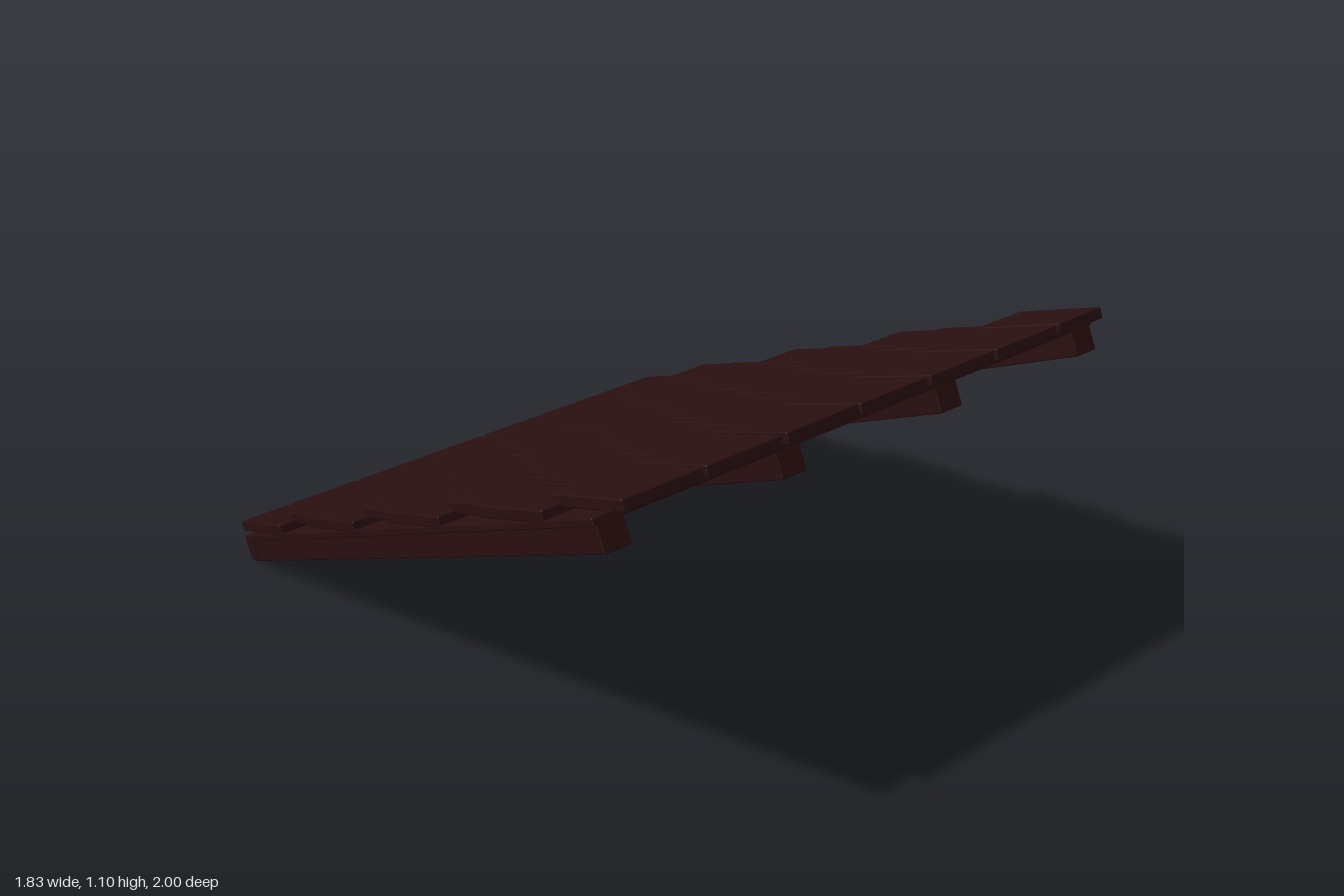
import * as THREE from 'three';
import { RoundedBoxGeometry } from 'three/addons/geometries/RoundedBoxGeometry.js';

const wood = new THREE.MeshStandardMaterial({ color: 0x2a0f10 });
wood.name = 'darkWood';

// Box given by its extents on each axis, with slightly softened edges
function block(name, [x0, x1], [y0, y1], [z0, z1], radius = 0.004) {
  const geometry = new RoundedBoxGeometry(x1 - x0, y1 - y0, z1 - z0, 1, radius);
  const mesh = new THREE.Mesh(geometry, wood);
  mesh.name = name;
  mesh.position.set((x0 + x1) / 2, (y0 + y1) / 2, (z0 + z1) / 2);
  return mesh;
}

function seeded(seed) {
  return () => (seed = (seed * 16807) % 2147483647) / 2147483647;
}

export function createModel() {
  const model = new THREE.Group();
  model.name = 'roofPanel';

  // Everything is laid out flat, with the deck top at y = 0, then pitched
  const slope = new THREE.Group();
  slope.name = 'slope';
  slope.position.y = 0.575;
  slope.rotation.x = -Math.atan(0.5);
  model.add(slope);

  const half = 0.915;
  slope.add(block('deck', [-half, half], [-0.022, 0], [-1.097, 1.073]));
  slope.add(block('eaveBoard', [-half, half], [-0.084, -0.012], [-1.099, -1.052]));

  // Four rafters under the deck
  for (const x of [-0.865, -0.293, 0.293, 0.865]) {
    slope.add(block('rafter', [x - 0.042, x + 0.042], [-0.094, -0.012], [-1.096, 1.072]));
  }

  // Eight overlapping shingle rows, staggered on alternate rows
  const random = seeded(11);
  const jitter = (amount) => (random() - 0.5) * 2 * amount;
  const length = 0.311, thickness = 0.035, tilt = 0.08;
  const pitchX = 0.263, gap = 0.012;
  for (let row = 0; row < 8; row++) {
    const shingles = new THREE.Group();
    shingles.name = 'shingleRow';
    slope.add(shingles);
    const start = row % 2 ? -0.853 : -0.988;
    const lowEnd = -1.087 + row * 0.2717;
    for (let i = 0; i < 7; i++) {
      const x0 = Math.max(start + i * pitchX, -half);
      const x1 = Math.min(start + (i + 1) * pitchX - gap, half);
      const tile = block('shingle', [x0, x1], [0, thickness], [0, length], 0.005);
      const t = tilt + jitter(0.006);
      tile.rotation.x = t;
      tile.position.y = 0.0515 - (length / 2) * Math.sin(t) - (thickness / 2) * Math.cos(t);
      tile.position.z = lowEnd + (length / 2) * Math.cos(t) - (thickness / 2) * Math.sin(t) + jitter(0.003);
      shingles.add(tile);
    }
  }
  return model;
}
